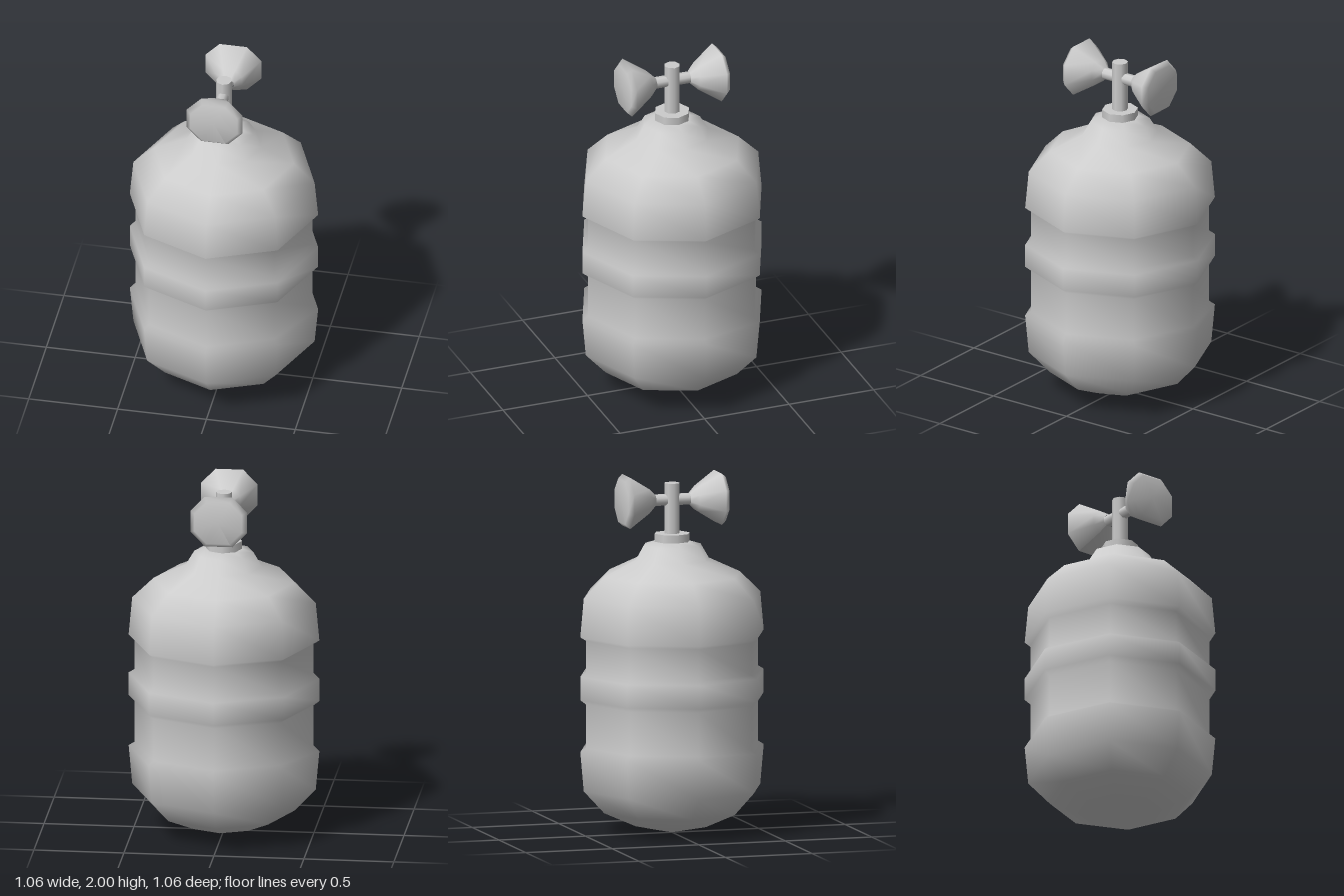
import * as THREE from 'three';

const SIDES = 8;
const material = new THREE.MeshStandardMaterial({ color: 0xcccccc });

function lathe(profile, phiStart = 0) {
  const points = profile.map(([r, h]) => new THREE.Vector2(r, h));
  return new THREE.LatheGeometry(points, SIDES, phiStart);
}

function addPart(parent, name, geometry) {
  const mesh = new THREE.Mesh(geometry, material);
  mesh.name = name;
  parent.add(mesh);
  return mesh;
}

export function createModel() {
  const group = new THREE.Group();
  group.name = 'gasTank';

  // Tank shell: rounded base, three raised bands, shoulder and neck
  addPart(group, 'tankBody', lathe([
    [0, 0], [0.212, 0.043], [0.392, 0.123], [0.51, 0.25],
    [0.53, 0.47], [0.498, 0.49], [0.498, 0.735],
    [0.53, 0.76], [0.53, 0.89], [0.498, 0.91], [0.498, 1.09],
    [0.53, 1.11], [0.51, 1.325], [0.392, 1.44], [0.212, 1.525],
    [0.165, 1.605], [0.1, 1.625], [0, 1.625],
  ]));

  // Collar and upright valve stem
  const collar = new THREE.CylinderGeometry(0.1, 0.1, 0.06, SIDES);
  addPart(group, 'valveCollar', collar).position.y = 1.64;
  const stem = new THREE.CylinderGeometry(0.044, 0.044, 0.33, SIDES);
  addPart(group, 'valveStem', stem).position.y = 1.785;

  // Flared knob and its arm, mirrored front and back
  const knob = lathe([
    [0.033, 0.1], [0.072, 0.14], [0.155, 0.265], [0.13, 0.292], [0, 0.292],
  ], Math.PI / 8);
  // Widen the octagon slightly sideways, more at the corners near the middle
  const pos = knob.attributes.position;
  for (let i = 0; i < pos.count; i++) {
    const inner = Math.abs(pos.getX(i)) < Math.abs(pos.getZ(i));
    pos.setX(i, pos.getX(i) * (inner ? 1.3 : 1.1));
  }
  knob.computeVertexNormals();
  knob.rotateX(Math.PI / 2);
  const arm = new THREE.CylinderGeometry(0.033, 0.033, 0.12, SIDES, 1, true, Math.PI / 8);
  arm.rotateX(Math.PI / 2).translate(0, 0, 0.06);

  for (const [side, turn] of [['front', 0], ['back', Math.PI]]) {
    const handle = new THREE.Group();
    handle.name = side + 'Handle';
    addPart(handle, side + 'Arm', arm);
    addPart(handle, side + 'Knob', knob);
    handle.position.y = 1.857;
    handle.rotation.y = turn;
    group.add(handle);
  }
  return group;
}
